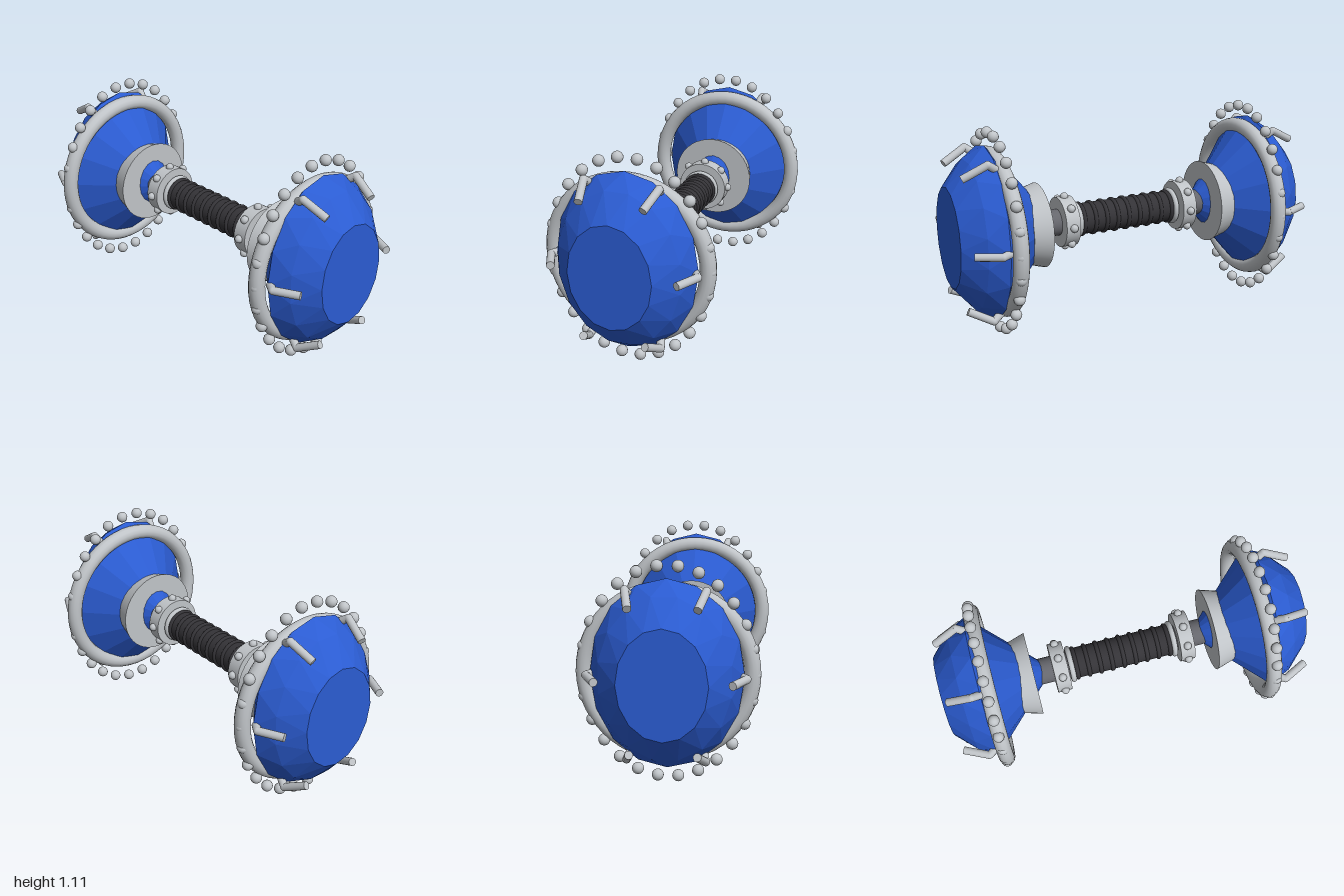
import * as THREE from 'three';

const CENTER_Y = 0.56;
const OVAL = 0.8; // depth of the gem relative to its height

const mat = (name, color, extra = {}) =>
  Object.assign(new THREE.MeshStandardMaterial({ color, ...extra }), { name });

// Faceted oval gem lofted through rings of [x, radius, half-step twist]
function gemGeometry() {
  const n = 16;
  const rings = [[0.45, 0.07, 0], [0.79, 0.473, 0], [0.89, 0.408, 0.5], [1, 0.275, 0]];
  const point = (i, k) => {
    const [x, r, twist] = rings[i];
    const a = ((k + twist) / n) * Math.PI * 2;
    return [x, r * Math.cos(a), OVAL * r * Math.sin(a)];
  };
  const pos = [];
  const tri = (...p) => p.forEach((v) => pos.push(...v));
  for (let k = 0; k < n; k++) {
    for (let i = 0; i < rings.length - 1; i++) {
      const a = point(i, k), b = point(i, k + 1), c = point(i + 1, k), d = point(i + 1, k + 1);
      if (rings[i][2] > rings[i + 1][2]) {
        tri(a, d, c);
        tri(a, b, d);
      } else {
        tri(a, b, c);
        tri(b, d, c);
      }
    }
    tri([0.45, 0, 0], point(0, k + 1), point(0, k));
    tri([1, 0, 0], point(3, k), point(3, k + 1));
  }
  const g = new THREE.BufferGeometry();
  g.setAttribute('position', new THREE.Float32BufferAttribute(pos, 3));
  g.computeVertexNormals();
  return g;
}

export function createModel() {
  const blue = mat('gem blue', 0x2b5cd2, { flatShading: true });
  const silver = mat('silver', 0xc0c4c8);
  const steel = mat('dark steel', 0x66676d);
  const black = mat('grip black', 0x343337);

  const model = new THREE.Group();
  model.name = 'gemDumbbell';

  function add(parent, name, geometry, material, x = 0, y = 0, z = 0) {
    const m = new THREE.Mesh(geometry, material);
    m.name = name;
    m.position.set(x, y, z);
    parent.add(m);
    return m;
  }
  // Cylinder along x; rOut is the radius at the +x end
  const barGeo = (rOut, rIn, len) =>
    new THREE.CylinderGeometry(rOut, rIn, len, 40).rotateZ(-Math.PI / 2);
  const ringGeo = (r, tube) =>
    new THREE.TorusGeometry(r, tube, 14, 56).rotateY(Math.PI / 2);
  // Round rod between two points
  function rod(parent, name, a, b, r, material) {
    const dir = b.clone().sub(a);
    const m = add(parent, name, new THREE.CylinderGeometry(r, r, dir.length(), 14), material);
    m.position.copy(a).add(b).multiplyScalar(0.5);
    m.quaternion.setFromUnitVectors(new THREE.Vector3(0, 1, 0), dir.normalize());
  }

  // Handle with ribbed grip
  const handle = new THREE.Group();
  handle.name = 'handle';
  handle.position.y = CENTER_Y;
  model.add(handle);
  add(handle, 'bar', barGeo(0.072, 0.072, 0.94), steel);
  add(handle, 'grip', barGeo(0.085, 0.085, 0.56), black);
  for (let i = -4; i <= 4; i++) add(handle, 'gripRib', ringGeo(0.083, 0.012), black, i * 0.066);

  // One end, facing +x
  function buildEnd(name) {
    const end = new THREE.Group();
    end.name = name;
    end.position.y = CENTER_Y;
    model.add(end);

    add(end, 'gripRing', ringGeo(0.087, 0.015), silver, 0.29);
    add(end, 'collar', barGeo(0.137, 0.137, 0.08), silver, 0.352);
    const stud = new THREE.SphereGeometry(0.022, 16, 12);
    for (let i = 0; i < 8; i++) {
      const a = (i / 8) * Math.PI * 2;
      add(end, 'collarStud', stud, silver, 0.352, 0.14 * Math.cos(a), 0.14 * Math.sin(a));
    }

    add(end, 'cup', barGeo(0.2, 0.23, 0.1), silver, 0.55);
    add(end, 'gem', gemGeometry(), blue);
    add(end, 'settingRing', ringGeo(0.413, 0.042), silver, 0.75);

    // Beads around the gem in an oval
    const bead = new THREE.SphereGeometry(0.03, 18, 14);
    for (let i = 0; i < 26; i++) {
      const a = ((i + 0.5) / 26) * Math.PI * 2;
      add(end, 'bead', bead, silver, 0.755, 0.53 * Math.cos(a), 0.425 * Math.sin(a));
    }

    // Six bent prongs holding the gem
    for (let i = 0; i < 6; i++) {
      const a = (i / 6) * Math.PI * 2;
      const at = (x, r) => new THREE.Vector3(x, r * Math.sin(a), OVAL * r * Math.cos(a));
      const prong = new THREE.Group();
      prong.name = 'prong';
      end.add(prong);
      const bend = at(0.835, 0.487);
      rod(prong, 'prongTip', bend, at(0.962, 0.41), 0.021, silver);
      rod(prong, 'prongRoot', bend, at(0.79, 0.45), 0.021, silver);
      add(prong, 'prongBend', new THREE.SphereGeometry(0.021, 14, 10), silver, bend.x, bend.y, bend.z);
    }
    return end;
  }
  buildEnd('leftEnd');
  buildEnd('rightEnd').rotation.y = Math.PI;

  return model;
}
